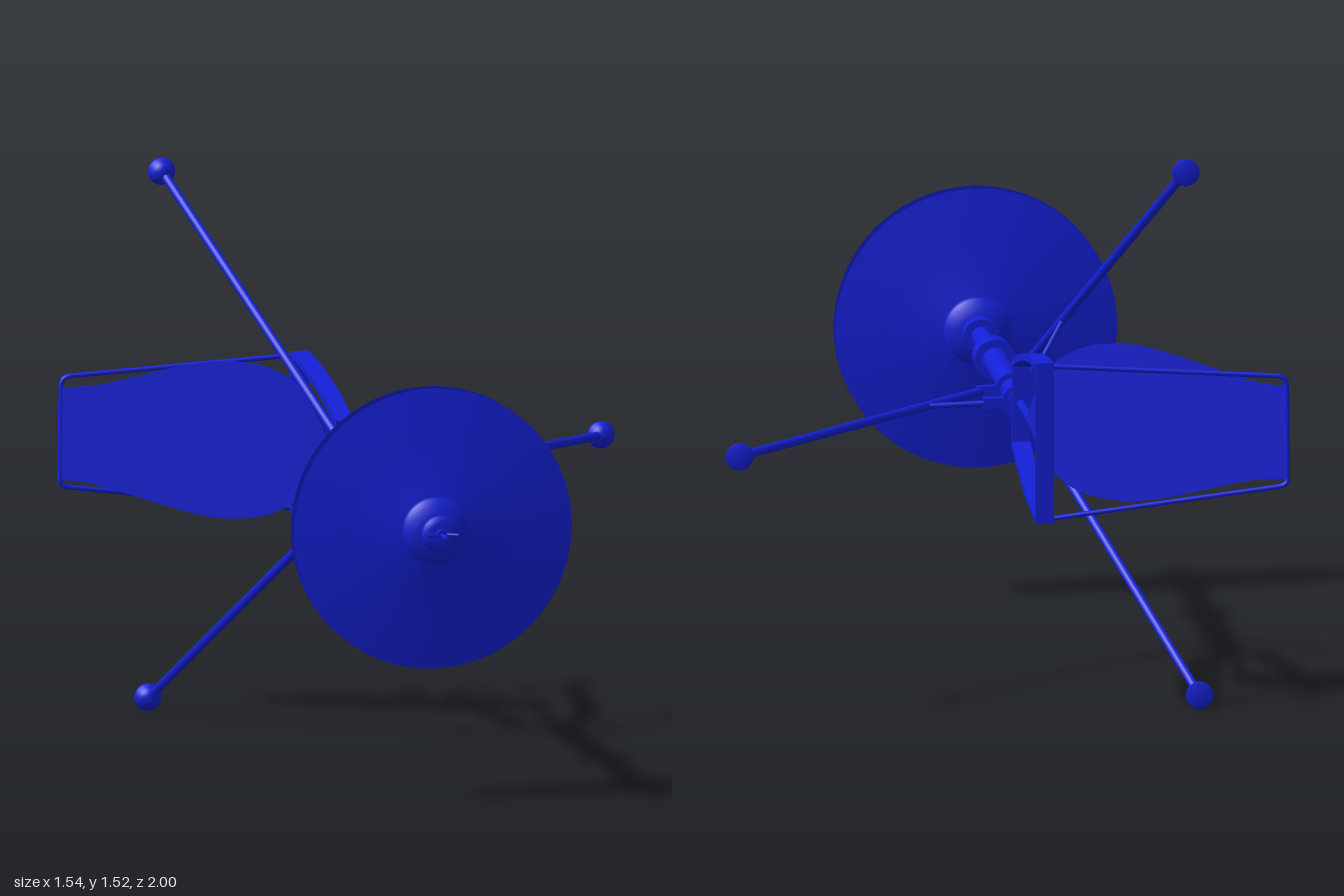
import * as THREE from 'three';

const V = (x, y, z) => new THREE.Vector3(x, y, z);
const CX = -0.1, CY = 0.75; // main axis runs along z through this point

export function createModel() {
  const model = new THREE.Group();
  const mat = new THREE.MeshStandardMaterial({ color: 0x1420d8, side: THREE.DoubleSide });

  const add = (name, geo, parent = model) => {
    const mesh = new THREE.Mesh(geo, mat);
    mesh.name = name;
    parent.add(mesh);
    return mesh;
  };
  // round bar between two points
  const rod = (name, a, b, r, parent = model) => {
    const m = add(name, new THREE.CylinderGeometry(r, r, a.distanceTo(b), 16), parent);
    m.position.copy(a).lerp(b, 0.5);
    m.quaternion.setFromUnitVectors(V(0, 1, 0), b.clone().sub(a).normalize());
    return m;
  };
  // cylinder on the main axis, from z0 to z1
  const axial = (name, z0, z1, r) => rod(name, V(CX, CY, z0), V(CX, CY, z1), r);
  // turned shape along z, profile given as [radius, z]
  const turned = (name, pts, x, y, seg, parent = model) => {
    const geo = new THREE.LatheGeometry(pts.map(p => new THREE.Vector2(p[0], p[1])), seg);
    const m = add(name, geo.rotateX(Math.PI / 2), parent);
    m.position.set(x, y, 0);
    return m;
  };

  // telescoping post with collars
  axial('lowerTube', -0.385, 0.3, 0.035);
  axial('upperTube', 0.3, 0.68, 0.028);
  axial('heightCollar', 0.27, 0.34, 0.057);
  axial('topCollar', 0.63, 0.68, 0.048);
  axial('centreRod', 0.66, 1.0, 0.006);
  axial('pullRod', -0.67, -0.38, 0.012);

  // facing pair of belled discs
  const disc = [[0.385, 0], [0.24, 0.022], [0.095, 0.04], [0.09, 0.052],
    [0.075, 0.064], [0.05, 0.073], [0.02, 0.077], [0.006, 0.077]];
  turned('frontCymbal', disc.map(([r, h]) => [r, 0.808 + h]), CX, CY, 72);
  turned('backCymbal', disc.map(([r, h]) => [r, 0.76 - h]).reverse(), CX, CY, 72);

  // clutch and wing nut
  turned('clutchFelt', [[0, 0.88], [0.03, 0.88], [0.046, 0.887], [0.05, 0.898],
    [0.046, 0.908], [0.03, 0.914], [0, 0.914]], CX, CY, 32);
  axial('wingNutCore', 0.91, 0.935, 0.014);
  for (const s of [-1, 1])
    rod('wingNutWing', V(CX + s * 0.01, CY, 0.922), V(CX + s * 0.045, CY, 0.938), 0.005);

  // tripod: two lugged hubs, three braced legs
  for (const [name, z] of [['upperHub', -0.175], ['lowerHub', -0.355]])
    axial(name, z - 0.016, z + 0.016, 0.05);
  for (const deg of [-2, 118, 239]) {
    const leg = new THREE.Group();
    leg.name = 'leg';
    leg.position.set(CX, CY, 0);
    leg.rotation.z = THREE.MathUtils.degToRad(deg);
    model.add(leg);
    for (const z of [-0.175, -0.355]) {
      const lug = add('hubLug', new THREE.BoxGeometry(0.07, 0.028, 0.028), leg);
      lug.position.set(0.064, 0, z);
    }
    rod('legBar', V(0.085, 0, -0.178), V(0.825, 0, -0.945), 0.0125, leg);
    rod('brace', V(0.08, 0, -0.357), V(0.257, 0, -0.357), 0.008, leg);
    turned('foot', [[0, -0.968], [0.032, -0.968], [0.038, -0.96], [0.036, -0.95],
      [0.024, -0.933], [0.012, -0.926], [0, -0.926]], 0.83, 0, 24, leg);
  }

  // bowed frame in the plane of the post, drawn as (-z, y)
  const bow = (shape, u0, u1, h0, hm, h1) => {
    const um = u0 + (u1 - u0) * 0.5;
    shape.moveTo(u0, CY - h0);
    shape.quadraticCurveTo(um, CY - hm, u1, CY - h1);
    shape.lineTo(u1, CY + h1);
    shape.quadraticCurveTo(um, CY + hm, u0, CY + h0);
    shape.closePath();
    return shape;
  };
  const outline = bow(new THREE.Shape(), 0.382, 1.0, 0.122, 0.212, 0.221);
  outline.holes.push(bow(new THREE.Path(), 0.4, 0.984, 0.104, 0.193, 0.203));
  const frameGeo = new THREE.ExtrudeGeometry(outline, { depth: 0.05, bevelEnabled: false, curveSegments: 20 });
  add('frame', frameGeo.rotateY(Math.PI / 2)).position.x = CX - 0.025;

  // paddle-shaped pedal board, slanting back to the right
  const half = [[0.02, 0.085], [0.07, 0.155], [0.15, 0.2], [0.255, 0.216], [0.35, 0.208],
    [0.45, 0.185], [0.56, 0.155], [0.65, 0.134], [0.738, 0.126]];
  const edge = new THREE.SplineCurve([[-0.012, 0], ...half].map(p => new THREE.Vector2(...p))).getPoints(40);
  const board = new THREE.Shape([...edge, ...edge.slice(1).reverse().map(p => new THREE.Vector2(p.x, -p.y))]);
  const pedal = add('pedalBoard', new THREE.ExtrudeGeometry(board, { depth: 0.01, bevelEnabled: false }));
  pedal.position.set(CX, 0.765, -0.67);
  pedal.rotation.y = Math.PI - Math.atan2(0.32, 0.67);

  // thin wire linking the frame to the end of the pedal
  const z = -0.992;
  const wire = new THREE.CurvePath();
  const a = V(CX, 0.962, z), b = V(-0.735, 0.923, z), c = V(-0.762, 0.895, z);
  const d = V(-0.765, 0.645, z), e = V(-0.74, 0.617, z), f = V(CX, 0.538, z);
  wire.add(new THREE.LineCurve3(a, b));
  wire.add(new THREE.QuadraticBezierCurve3(b, V(-0.762, 0.922, z), c));
  wire.add(new THREE.LineCurve3(c, d));
  wire.add(new THREE.QuadraticBezierCurve3(d, V(-0.768, 0.62, z), e));
  wire.add(new THREE.LineCurve3(e, f));
  add('pedalWire', new THREE.TubeGeometry(wire, 160, 0.007, 10));

  return model;
}
